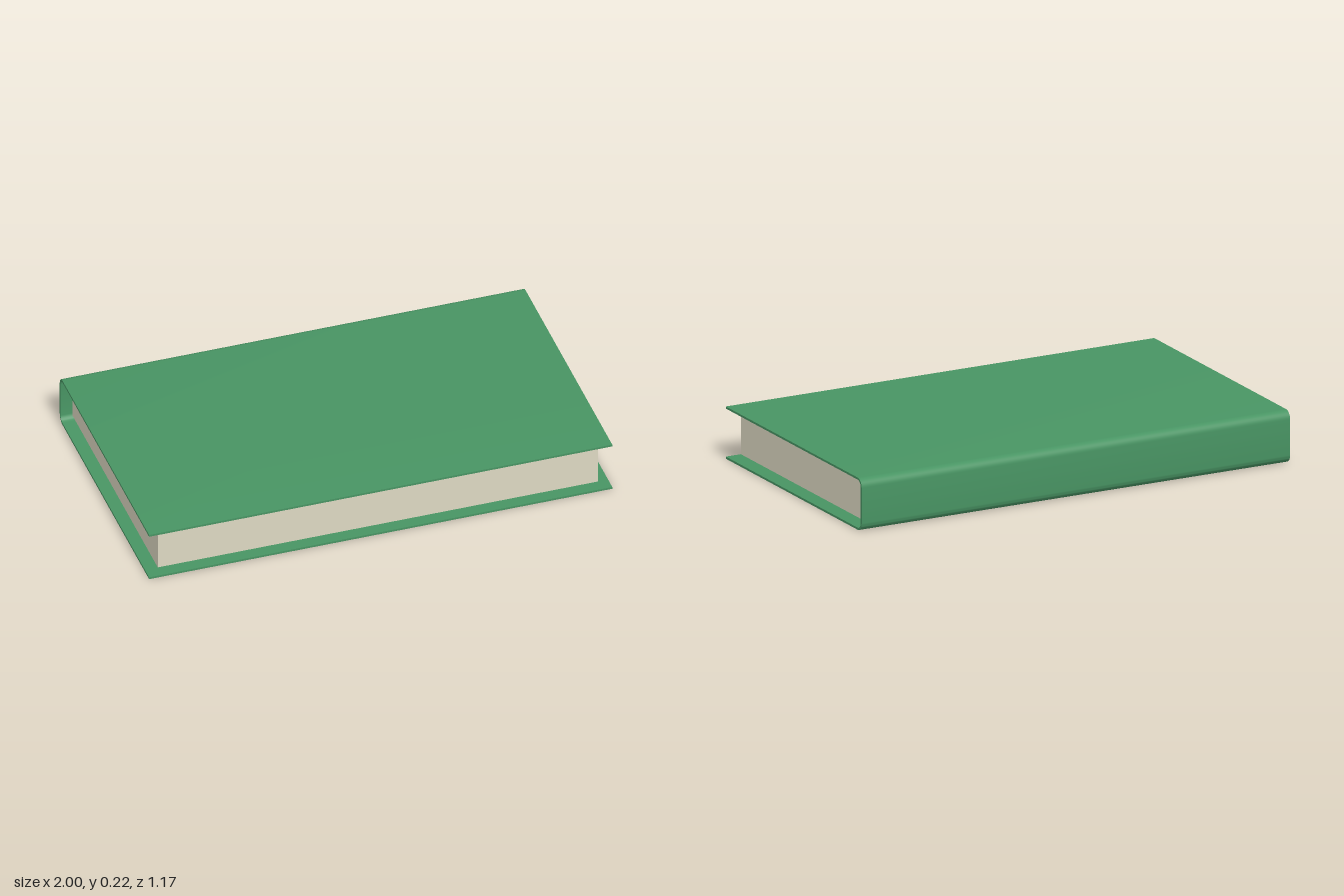
import * as THREE from 'three';
import { toCreasedNormals } from 'three/addons/utils/BufferGeometryUtils.js';

const WIDTH = 2, FRONT = 0.583, BACK = -0.583, HEIGHT = 0.224, BOARD = 0.009, RADIUS = 0.036;

// Wrap-around cover: a C-shaped section (drawn in z, y) run along x
function createCover(material) {
  const s = new THREE.Shape();
  const r = RADIUS, ri = RADIUS - BOARD;
  const lowY = r, highY = HEIGHT - r, cz = BACK + r;
  s.moveTo(FRONT, 0);
  s.lineTo(FRONT, BOARD);
  s.lineTo(cz, BOARD);
  s.absarc(cz, lowY, ri, -Math.PI / 2, -Math.PI, true);
  s.lineTo(BACK + BOARD, highY);
  s.absarc(cz, highY, ri, Math.PI, Math.PI / 2, true);
  s.lineTo(FRONT, HEIGHT - BOARD);
  s.lineTo(FRONT, HEIGHT);
  s.lineTo(cz, HEIGHT);
  s.absarc(cz, highY, r, Math.PI / 2, Math.PI, false);
  s.lineTo(BACK, lowY);
  s.absarc(cz, lowY, r, Math.PI, Math.PI * 1.5, false);
  s.closePath();

  const geometry = new THREE.ExtrudeGeometry(s, { depth: WIDTH, bevelEnabled: false, curveSegments: 4 });
  geometry.translate(0, 0, -WIDTH / 2);
  geometry.rotateY(-Math.PI / 2);
  const cover = new THREE.Mesh(toCreasedNormals(geometry, 0.6), material);
  cover.name = 'cover';
  return cover;
}

export function createModel() {
  const group = new THREE.Group();
  group.name = 'book';

  group.add(createCover(new THREE.MeshStandardMaterial({ color: 0x489463 })));

  // Page block, set in from the cover edges
  const pages = new THREE.Mesh(
    new THREE.BoxGeometry(1.9, 0.192, 1.112),
    new THREE.MeshStandardMaterial({ color: 0xddd8c2 })
  );
  pages.name = 'pages';
  pages.position.set(0, 0.118, -0.011);
  group.add(pages);

  return group;
}
